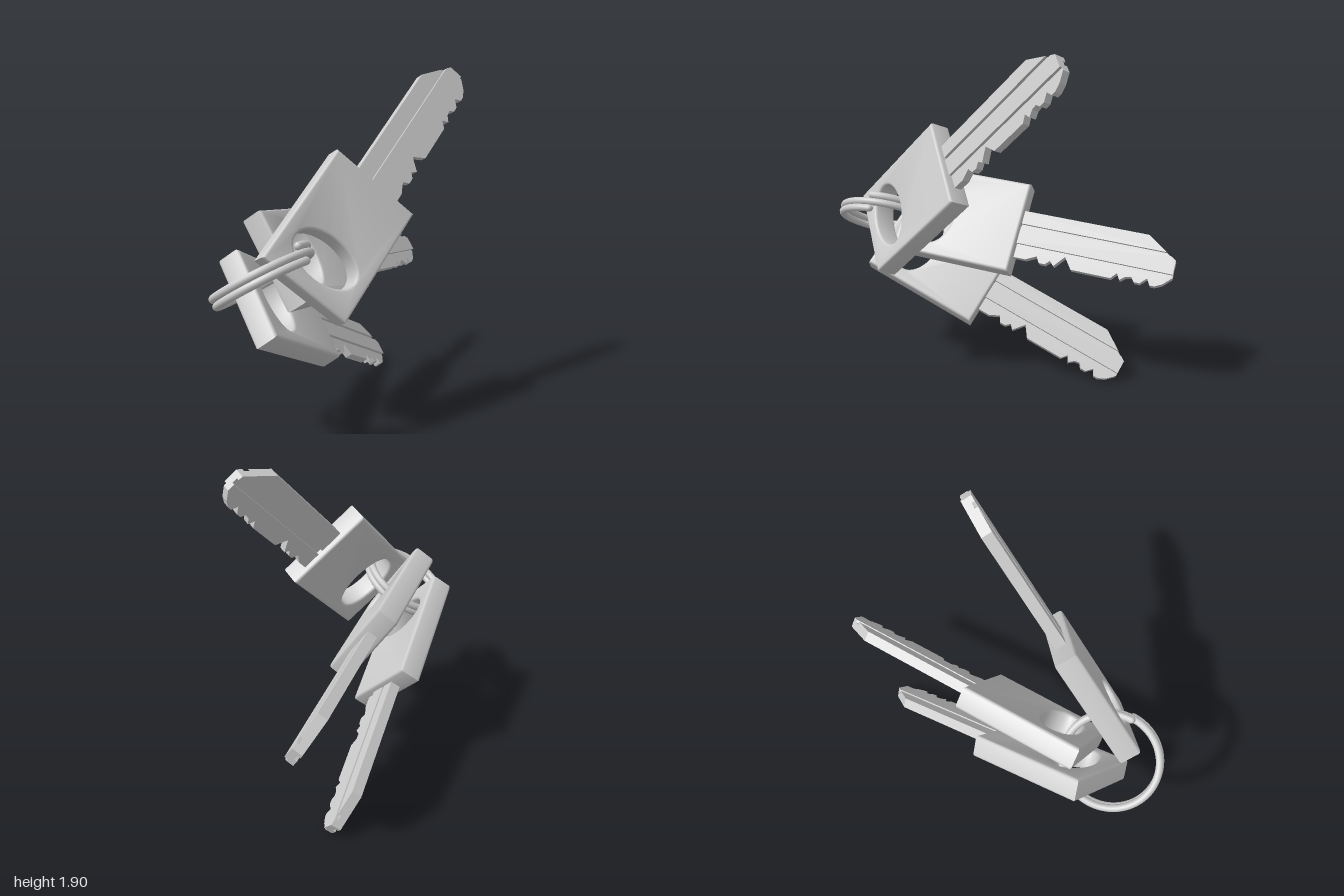
import * as THREE from 'three';
import { toCreasedNormals } from 'three/addons/utils/BufferGeometryUtils.js';

const material = new THREE.MeshStandardMaterial({ color: 0xcccccc });

// Key-local axes: x runs along the blade (0 = where it leaves the head),
// y points to the toothed edge, z runs through the thickness.
const HEAD = { length: 0.71, width: 0.53, thickness: 0.13 };
const BLADE = [
  [-0.1, -0.11], [0.715, -0.11], [0.885, 0.005], [0.885, 0.1], [0.84, 0.145],
  [0.8, 0.165], [0.775, 0.165], [0.755, 0.13], [0.72, 0.165], [0.69, 0.165],
  [0.67, 0.14], [0.64, 0.145], [0.61, 0.17], [0.59, 0.135], [0.56, 0.17],
  [0.335, 0.17], [0.288, 0.105], [0.235, 0.17], [0.21, 0.145], [0.185, 0.17],
  [0.15, 0.17], [0.13, 0.135], [0.07, 0.165], [-0.1, 0.165],
];

function mesh(geometry, name) {
  const m = new THREE.Mesh(geometry, material);
  m.name = name;
  return m;
}

// Keeps the part of an outline on one side of y = limit
function clip(points, limit, sign) {
  const out = [];
  points.forEach((p, i) => {
    const q = points[(i + 1) % points.length];
    const dp = sign * (p[1] - limit), dq = sign * (q[1] - limit);
    if (dp >= 0) out.push(p);
    if (dp * dq < 0) {
      const t = dp / (dp - dq);
      out.push([p[0] + t * (q[0] - p[0]), limit]);
    }
  });
  return out;
}

// Flat layer of the blade between two heights, from z0 to z1
function bladeLayer(lo, hi, z0, z1, name) {
  const outline = clip(clip(BLADE, lo, 1), hi, -1);
  const shape = new THREE.Shape(outline.map(([x, y]) => new THREE.Vector2(x, y)));
  const geometry = new THREE.ExtrudeGeometry(shape, { depth: z1 - z0, bevelEnabled: false });
  geometry.translate(0, 0, z0);
  return mesh(geometry, name);
}

function buildHead() {
  const { length, width, thickness } = HEAD;
  const bevel = 0.016;
  const shape = new THREE.Shape();
  shape.moveTo(-length, -width / 2);
  shape.lineTo(0, -width / 2);
  shape.lineTo(0, width / 2);
  shape.lineTo(-length, width / 2);
  shape.closePath();
  // Oval hole for the ring
  const hole = new THREE.Path();
  hole.absellipse(-0.513, 0, 0.115, 0.19, 0, Math.PI * 2, true);
  shape.holes.push(hole);
  const geometry = new THREE.ExtrudeGeometry(shape, {
    depth: thickness - 2 * bevel, curveSegments: 40,
    bevelSize: bevel, bevelThickness: bevel, bevelOffset: -bevel, bevelSegments: 3,
  });
  geometry.translate(0, 0, -thickness / 2 + bevel);
  return mesh(toCreasedNormals(geometry, 0.7), 'keyHead');
}

// Key placed by the middle of its shoulder, blade direction and tooth direction
function buildKey(name, origin, along, teeth) {
  const key = new THREE.Group();
  key.name = name;
  key.add(buildHead());
  // Core plus raised strips that leave long grooves on both faces
  key.add(
    bladeLayer(-1, 1, -0.013, 0.013, 'bladeCore'),
    bladeLayer(-1, -0.032, -0.03, -0.013, 'bladeFrontUpperRidge'),
    bladeLayer(-0.014, 0.085, -0.03, -0.013, 'bladeFrontLowerRidge'),
    bladeLayer(-1, 0.03, 0.013, 0.03, 'bladeBackUpperRidge'),
    bladeLayer(0.06, 1, 0.013, 0.03, 'bladeBackLowerRidge'),
  );
  const u = new THREE.Vector3(...along).normalize();
  const n = u.clone().cross(new THREE.Vector3(...teeth)).normalize();
  const v = n.clone().cross(u);
  key.applyMatrix4(new THREE.Matrix4().makeBasis(u, v, n).setPosition(...origin));
  return key;
}

// Split ring: two turns of wire lying against each other
function buildRing() {
  const ring = new THREE.Group();
  ring.name = 'splitRing';
  const radius = 0.265, wire = 0.021, turns = 2, points = [];
  for (let i = 0; i <= 80; i++) {
    const t = i / 80, angle = t * turns * Math.PI * 2;
    points.push(new THREE.Vector3(
      radius * Math.cos(angle), (t - 0.5) * 0.08, radius * Math.sin(angle)));
  }
  const path = new THREE.CatmullRomCurve3(points);
  ring.add(mesh(new THREE.TubeGeometry(path, 160, wire, 12), 'ringWire'));
  for (const end of [points[0], points[points.length - 1]]) {
    const cap = mesh(new THREE.SphereGeometry(wire, 12, 8), 'ringWireEnd');
    cap.position.copy(end);
    ring.add(cap);
  }
  ring.position.set(-0.145, 0.862, 0.71);
  ring.rotation.z = 0.558;
  return ring;
}

export function createModel() {
  const model = new THREE.Group();
  model.name = 'keyRing';
  model.add(
    buildKey('upperKey', [0.193, 1.278, 0.178], [0.204, 0.675, -0.71], [0.614, -0.64, -0.461]),
    buildKey('middleKey', [-0.139, 0.843, -0.126], [0.03, -0.1, -0.994], [0.558, -0.826, 0.085]),
    buildKey('lowerKey', [-0.222, 0.453, 0.072], [0.022, -0.414, -0.909], [0.63, -0.698, 0.334]),
    buildRing(),
  );
  return model;
}
